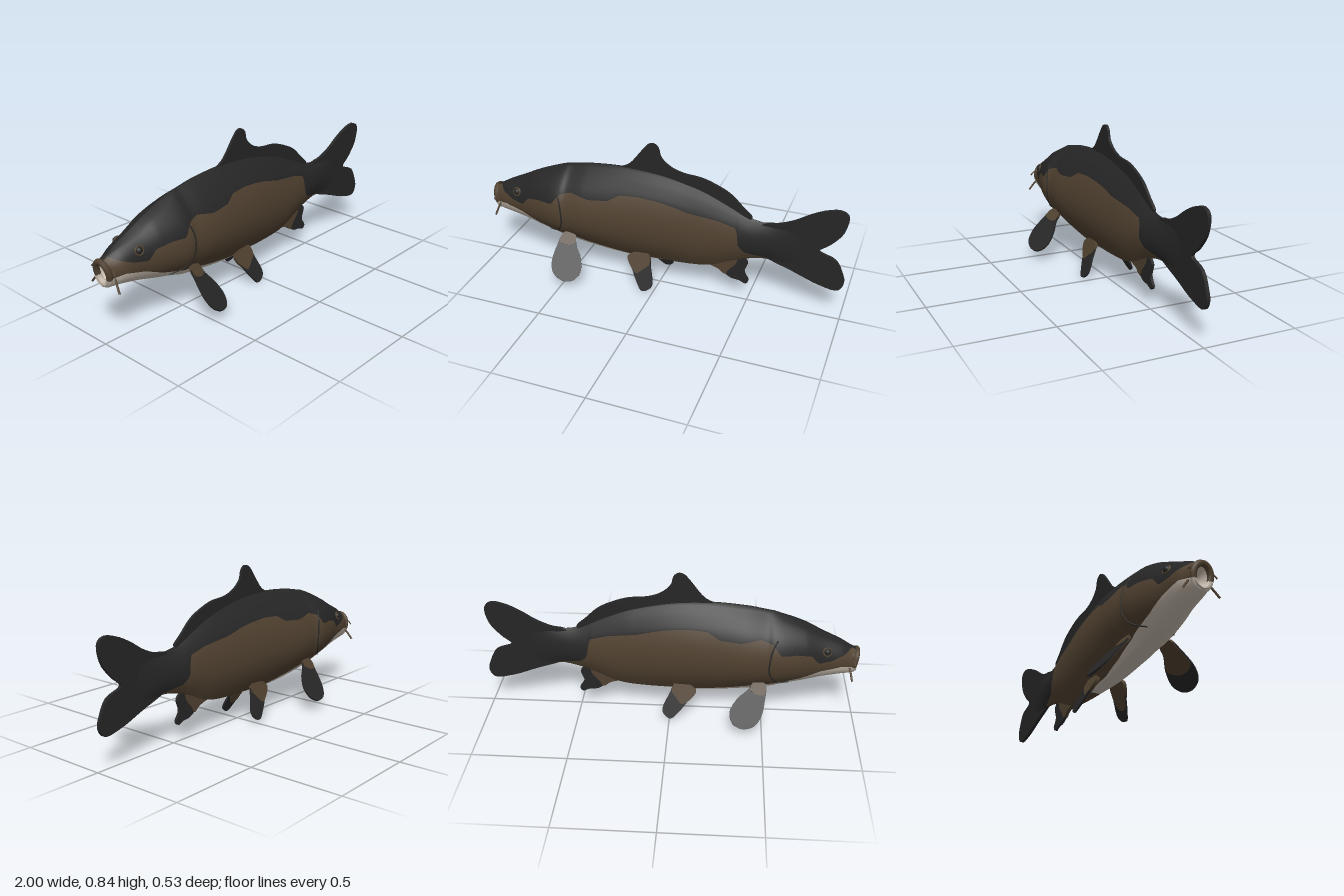
import * as THREE from 'three';

const MID = -0.016; // z of the fish's centre plane

// x, bottom, top, half width
const BODY = [
  [-.985, .30, .435, .052], [-.95, .285, .45, .06], [-.9, .28, .48, .078], [-.8, .262, .53, .098],
  [-.7, .24, .58, .128], [-.6, .22, .62, .152], [-.54, .205, .64, .157], [-.51, .2, .645, .149],
  [-.4, .185, .665, .15], [-.2, .165, .68, .133], [0, .165, .67, .113], [.2, .172, .63, .088],
  [.3, .19, .595, .075], [.4, .235, .55, .06], [.5, .27, .505, .045], [.6, .285, .495, .03],
  [.72, .26, .515, .014], [.8, .26, .5, .005],
];
// cross-section: height fraction, width fraction
const SECTION = [[0, .3], [.04, .43], [.1, .58], [.2, .8], [.32, .95], [.45, 1], [.6, .93], [.75, .73], [.88, .42], [.96, .17], [1, .04]];
// upper edges of the pale belly and of the brown flank
const BELLY = [[-.985, .345], [-.9, .36], [-.79, .335], [-.685, .29], [-.55, .25], [-.34, .2], [-.18, .172], [0, .166], [.8, .1]];
const FLANK = [
  [-.985, .45], [-.95, .447], [-.925, .43], [-.845, .4], [-.78, .39], [-.74, .44], [-.66, .455], [-.58, .455], [-.54, .51],
  [-.47, .53], [-.37, .51], [-.26, .52], [-.2, .555], [-.1, .56], [0, .55], [.08, .535], [.17, .51], [.33, .485],
  [.43, .455], [.445, .35], [.48, .315], [.6, .29], [.8, .1],
];

// Interpolates column c of a table; smooth or straight
function lookup(table, x, c = 1, smooth = false) {
  let i = 0;
  while (i < table.length - 2 && x > table[i + 1][0]) i++;
  const a = table[i], b = table[i + 1], h = b[0] - a[0];
  const t = THREE.MathUtils.clamp((x - a[0]) / h, 0, 1);
  if (!smooth) return a[c] + (b[c] - a[c]) * t;
  const p = table[Math.max(i - 1, 0)], n = table[Math.min(i + 2, table.length - 1)];
  const ma = (b[c] - p[c]) / (b[0] - p[0]) * h, mb = (n[c] - a[c]) / (n[0] - a[0]) * h;
  const t2 = t * t, t3 = t2 * t;
  return (2 * t3 - 3 * t2 + 1) * a[c] + (t3 - 2 * t2 + t) * ma + (3 * t2 - 2 * t3) * b[c] + (t3 - t2) * mb;
}

// Half width of the body at x and height y; the head is rounder on top
function halfWidth(x, y) {
  const lo = lookup(BODY, x, 1, true), hi = lookup(BODY, x, 2, true);
  const t = THREE.MathUtils.clamp((y - lo) / (hi - lo), 0, 1);
  const head = THREE.MathUtils.clamp((-.5 - x) / .3, 0, .7);
  const round = Math.sqrt(Math.max(0, 1 - (2 * t - 1) ** 2));
  return lookup(BODY, x, 3, true) * THREE.MathUtils.lerp(lookup(SECTION, t, 1, true), round, head);
}

// Body loft; rows follow the colour borders
function bodyGeometry() {
  const N = 170, bands = [4, 10, 10], rows = 25, M = rows * 2;
  const pos = [], parts = [[], [], []];
  const xs = Array.from({ length: N + 1 }, (_, i) => -.985 + 1.785 * i / N);
  for (const x of xs) {
    const lo = lookup(BODY, x, 1, true), hi = lookup(BODY, x, 2, true);
    const y1 = Math.max(lookup(BELLY, x), lo + .004);
    const y2 = THREE.MathUtils.clamp(lookup(FLANK, x), y1 + .004, hi - .004);
    const edges = [lo, y1, y2, hi], ys = [lo];
    bands.forEach((n, b) => {
      for (let k = 1; k <= n; k++) ys.push(THREE.MathUtils.lerp(edges[b], edges[b + 1], k / n));
    });
    ys.forEach(y => pos.push(x, y, MID + halfWidth(x, y)));
    [...ys].reverse().forEach(y => pos.push(x, y, MID - halfWidth(x, y)));
  }
  for (let i = 0; i < N; i++) for (let k = 0; k < M; k++) {
    const row = k === M - 1 ? 0 : k < rows ? k : M - 2 - k;
    let band = row < 4 ? 0 : row < 14 ? 1 : 2;
    if (band === 0 && xs[i] > .02) band = 1;
    if (xs[i] > .59) band = 2;
    const a = i * M + k, d = i * M + (k + 1) % M;
    parts[band].push(a, a + M, d + M, a, d + M, d);
  }
  const g = new THREE.BufferGeometry();
  g.setAttribute('position', new THREE.Float32BufferAttribute(pos, 3));
  g.setIndex(parts.flat());
  let start = 0;
  parts.forEach((p, m) => { g.addGroup(start, p.length, m); start += p.length; });
  g.computeVertexNormals();
  return g;
}

const outline = (pts, n = 70) => new THREE.Shape(
  new THREE.CatmullRomCurve3(pts.map(p => new THREE.Vector3(p[0], p[1], 0)), true, 'centripetal')
    .getPoints(n).slice(0, -1).map(p => new THREE.Vector2(p.x, p.y)));

const plate = (pts, depth) => new THREE.ExtrudeGeometry(outline(pts), { depth, bevelEnabled: false }).translate(0, 0, -depth / 2);

export function createModel() {
  const group = new THREE.Group();
  const material = (name, color, side = THREE.FrontSide) => {
    const m = new THREE.MeshStandardMaterial({ color, side });
    m.name = name;
    return m;
  };
  const dark = material('charcoal', 0x262626);
  const brown = material('olive brown', 0x504130);
  const pale = material('pale belly', 0xc6bbad, THREE.DoubleSide);
  const add = (name, geometry, mat, parent = group) => {
    const mesh = new THREE.Mesh(geometry, mat);
    mesh.name = name;
    parent.add(mesh);
    return mesh;
  };
  const tube = (name, pts, r, mat) => add(name, new THREE.TubeGeometry(
    new THREE.CatmullRomCurve3(pts.map(p => new THREE.Vector3(...p))), 24, r, 8), mat);

  add('body', bodyGeometry(), [pale, brown, dark]);

  // Fins on the centre plane
  const flat = (name, pts, depth, mat) => { add(name, plate(pts, depth), mat).position.z = MID; };
  flat('dorsalFin', [[-.25, .66], [-.18, .70], [-.1, .80], [-.07, .833], [-.04, .84], [-.015, .82], [0, .77], [.05, .725],
    [.12, .70], [.22, .69], [.3, .665], [.38, .625], [.45, .56], [.5, .51], [.47, .49], [.3, .56], [0, .62]], .014, dark);
  flat('tailFin', [[.55, .48], [.64, .505], [.72, .54], [.79, .585], [.87, .625], [.945, .64], [.983, .615], [.97, .52], [.91, .44],
    [.857, .39], [.945, .35], [.985, .28], [.999, .22], [.97, .175], [.865, .19], [.73, .24], [.6, .285], [.55, .31]], .018, dark);
  flat('analFin', [[.27, .19], [.33, .165], [.4, .12], [.45, .112], [.485, .1], [.5, .12], [.475, .17], [.49, .235],
    [.44, .27], [.35, .25]], .014, dark);
  flat('analFinRoot', [[.265, .19], [.33, .163], [.37, .138], [.39, .17], [.43, .22], [.43, .26], [.35, .25]], .02, brown);

  // Paired fins: outline along the fin (u) and across it (v)
  const pectoral = [[-.02, -.025], [.06, -.065], [.15, -.088], [.21, -.075], [.248, -.025], [.245, .03], [.2, .07], [.12, .07], [.05, .045], [-.02, .03]];
  const pectoralRoot = [[-.02, -.027], [.03, -.045], [.05, 0], [.04, .035], [-.02, .032]];
  const pectoralInner = [[-.02, -.025], [.06, -.06], [.13, -.075], [.16, 0], [.12, .06], [.05, .04], [-.02, .03]];
  const pelvic = [[-.02, -.06], [.06, -.056], [.14, -.045], [.185, -.03], [.19, 0], [.17, .035], [.08, .05], [-.02, .05]];
  const pelvicRoot = [[-.02, -.062], [.05, -.058], [.085, -.035], [.07, .01], [.05, .05], [-.02, .052]];
  const pelvicInner = [[-.02, -.06], [.06, -.053], [.12, -.042], [.13, 0], [.08, .045], [-.02, .048]];
  const pairedFin = (name, root, tip, chord, [shape, rootShape, innerShape]) => {
    const fin = new THREE.Group();
    fin.name = name;
    const o = new THREE.Vector3(...root);
    const u = new THREE.Vector3(...tip).sub(o).normalize();
    const v = new THREE.Vector3(...chord);
    v.addScaledVector(u, -v.dot(u)).normalize();
    const n = u.clone().cross(v);
    fin.applyMatrix4(new THREE.Matrix4().makeBasis(u, v, n).setPosition(o));
    add('finBlade', plate(shape, .01), dark, fin);
    add('finRoot', plate(rootShape, .018), brown, fin);
    const inner = Math.sign(-n.z * root[2]) || 1; // side that faces the body
    add('finInnerFace', plate(innerShape, .004), brown, fin).position.z = inner * .006;
    group.add(fin);
  };
  const pec = [pectoral, pectoralRoot, pectoralInner], pel = [pelvic, pelvicRoot, pelvicInner];
  pairedFin('leftPectoralFin', [-.5, .25, .1], [-.45, .06, .25], [1, -.15, -.3], pec);
  pairedFin('rightPectoralFin', [-.48, .24, -.12], [-.37, .075, -.255], [1, .15, .05], pec);
  pairedFin('leftPelvicFin', [-.1, .175, .05], [-.03, .005, .125], [1, 0, 0], pel);
  pairedFin('rightPelvicFin', [-.08, .185, -.08], [.01, .045, -.138], [1, 0, 0], pel);

  // Open mouth with lips
  const lip = (from, to) => Array.from({ length: 9 }, (_, i) => {
    const a = THREE.MathUtils.degToRad(from + (to - from) * i / 8);
    return [-.973 - .011 * Math.sin(a), .365 + .06 * Math.sin(a), MID + .046 * Math.cos(a)];
  });
  tube('upperLip', lip(-20, 200), .016, brown);
  tube('lowerLip', lip(200, 340), .016, pale);
  const mouth = add('mouthInside', new THREE.ConeGeometry(1, .1, 24, 1, true).rotateZ(-Math.PI / 2), pale);
  mouth.scale.set(1, .064, .05);
  mouth.position.set(-.925, .365, MID);

  // Eyes, barbels and gill edges on both sides
  for (const [side, s] of [['left', 1], ['right', -1]]) {
    const on = (x, y, out = 0) => [x, y, MID + s * (halfWidth(x, y) + out)];
    const eye = add(side + 'Eye', new THREE.SphereGeometry(.02, 20, 14), dark);
    eye.position.set(...on(-.82, .452));
    const ring = add(side + 'EyeRing', new THREE.TorusGeometry(.021, .005, 8, 24), brown);
    ring.position.set(...on(-.82, .452, .004));
    ring.rotation.set(-s * .35, -s * .2, 0);
    tube(side + 'Barbel', [on(-.945, .35, -.01), on(-.953, .325, .02), [-.962, .285, MID + s * .1]], .0055, brown);
    tube(side + 'UpperBarbel', [on(-.96, .4, -.01), on(-.965, .395, .015), [-.97, .375, MID + s * .085]], .004, brown);
    tube(side + 'GillEdge', [on(-.56, .53), on(-.535, .48), on(-.523, .41), on(-.527, .34), on(-.56, .285), on(-.63, .25)], .004, dark);
  }
  return group;
}
